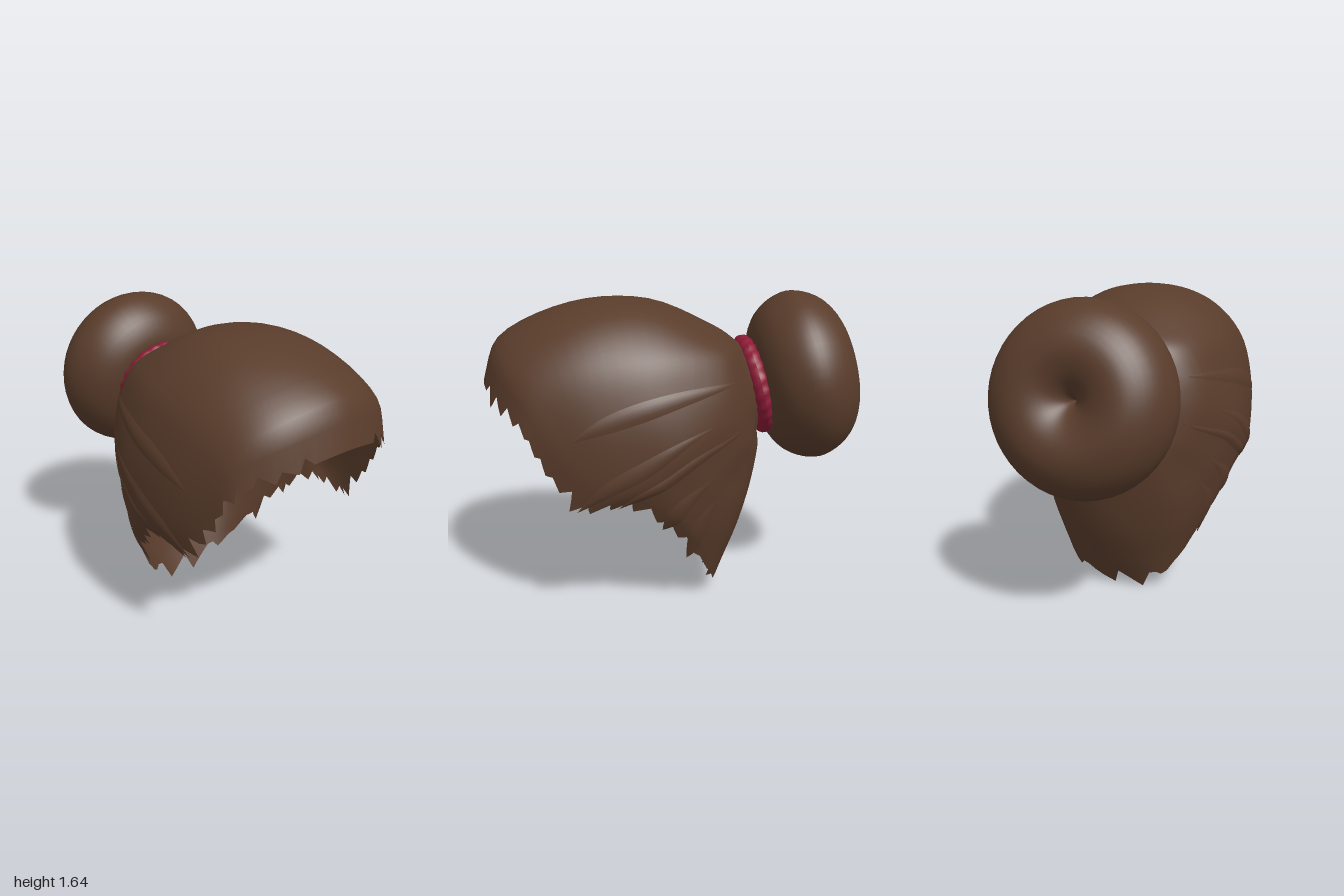
import * as THREE from 'three';

const hair = new THREE.MeshStandardMaterial({ color: 0x593c2b, side: THREE.DoubleSide });
hair.name = 'brown hair';
const band = new THREE.MeshStandardMaterial({ color: 0x8c1b36 });
band.name = 'red band';

// Funnel of hair gathered through the band: radius and z of each ring
const funnel = [[.115, -.505], [.2, -.46], [.24, -.4]];

// Half of the hair cap: strands running from the band to the rim, top round to nape
const strands = [
  [[0, 1.46, -.21], [0, 1.6, .13], [0, 1.59, .53], [0, 1.43, .9], [0, 1.2, 1]],
  [[.18, 1.43, -.21], [.26, 1.55, .13], [.29, 1.53, .5], [.29, 1.37, .85], [.28, 1.15, .94]],
  [[.33, 1.36, -.22], [.46, 1.38, .1], [.49, 1.35, .45], [.48, 1.23, .73], [.48, 1.06, .8]],
  [[.42, 1.22, -.22], [.55, 1.17, .1], [.58, 1.08, .4], [.56, .97, .6], [.53, .85, .68]],
  [[.44, 1.07, -.25], [.57, .97, 0], [.6, .85, .2], [.59, .75, .38], [.55, .65, .51]],
  [[.4, .95, -.3], [.53, .85, -.08], [.57, .75, .08], [.57, .7, .17], [.55, .65, .25]],
  [[.33, .87, -.36], [.44, .7, -.2], [.48, .6, -.1], [.48, .5, -.04], [.45, .42, -.01]],
  [[.2, .82, -.43], [.27, .6, -.36], [.3, .4, -.28], [.28, .25, -.23], [.25, .1, -.19]],
  [[0, .82, -.465], [0, .62, -.43], [0, .4, -.375], [0, .2, -.29], [0, .04, -.21]],
];

// Closed curves across the strands, one for each step from funnel to rim
const rowCount = funnel.length + strands[0].length;
const rows = Array.from({ length: rowCount }, (_, j) => {
  const pts = [];
  for (let i = 0; i < 16; i++) {
    const k = i <= 8 ? i : 16 - i, side = i <= 8 ? 1 : -1;
    const a = i * Math.PI / 8;
    if (j < funnel.length) {
      const [r, z] = funnel[j];
      pts.push(new THREE.Vector3(r * Math.sin(a), 1.135 + .98 * r * Math.cos(a), z + .23 * r * Math.cos(a)));
    } else {
      const [x, y, z] = strands[k][j - funnel.length];
      pts.push(new THREE.Vector3(side * x, y, z));
    }
  }
  return new THREE.CatmullRomCurve3(pts, true, 'catmullrom');
});

// One strand line at angle u (0..1 around the band)
const strandAt = (u) =>
  new THREE.CatmullRomCurve3(rows.map((r) => r.getPoint(((u % 1) + 1) % 1)), false, 'catmullrom');

// Point on the strand, running straight on past the rim when v > 1
function along(curve, v) {
  if (v <= 1) return curve.getPoint(Math.max(v, 0));
  const end = curve.getPoint(1);
  return end.clone().add(end.clone().sub(curve.getPoint(.95)).multiplyScalar((v - 1) / .05));
}

function gridGeometry(nu, nv, closed, point) {
  const pos = [], idx = [], cols = closed ? nu : nu + 1;
  for (let i = 0; i < cols; i++) {
    for (let j = 0; j <= nv; j++) pos.push(...point(i, j).toArray());
  }
  for (let i = 0; i < nu; i++) {
    for (let j = 0; j < nv; j++) {
      const a = i * (nv + 1) + j, b = ((i + 1) % cols) * (nv + 1) + j;
      idx.push(a, a + 1, b, b, a + 1, b + 1);
    }
  }
  const g = new THREE.BufferGeometry();
  g.setAttribute('position', new THREE.Float32BufferAttribute(pos, 3));
  g.setIndex(idx);
  g.computeVertexNormals();
  return g;
}

const hash = (n) => {
  const s = Math.sin(n * 127.1 + 3.7) * 43758.5453;
  return s - Math.floor(s);
};

function hairCap() {
  const nu = 120, nv = 32;
  const curves = Array.from({ length: nu }, (_, i) => strandAt(i / nu));
  // Ragged rim: saw teeth, calm at the fringe, wild at the sides, broad at the nape
  const rim = curves.map((_, i) => {
    const d = Math.min(i, nu - i) / nu * 2;
    const amp = d < .09 ? 0 : d < .45 ? .04 : d < .8 ? .075 : d < .9 ? .015 : .06;
    const n = d > .9 ? 5 : 3;
    const tooth = (i % n) / (n - 1) - .5;
    return 1 + amp * tooth * (.5 + hash(Math.floor(i / n)));
  });
  return gridGeometry(nu, nv, true, (i, j) =>
    along(curves[i], j < nv ? j / nv * .96 : rim[i]));
}

// A tapered lock lying just above the cap
function lock(u, width, v0, v1) {
  const n = 14;
  return gridGeometry(4, n, false, (i, j) => {
    const t = j / n, s = i / 2 - 1;
    const c = strandAt(u + s * width * Math.sin(Math.PI * (.06 + .94 * t)));
    const p = along(c, v0 + (v1 - v0) * t);
    const out = p.clone().sub(new THREE.Vector3(0, .95, .1)).normalize();
    return p.addScaledVector(out, .008 * (1 - s * s) * Math.sin(Math.PI * t) + .001);
  });
}

// Round bun, pinched in at both ends
function bunGeometry() {
  const half = [[0, .07], [.025, .13], [.07, .18], [.13, .22], [.21, .243], [.3, .23], [.39, .17], [.445, .085]];
  const pts = [
    ...half.map(([r, h]) => new THREE.Vector2(r, -h)),
    new THREE.Vector2(.465, 0),
    ...half.slice().reverse().map(([r, h]) => new THREE.Vector2(r, h)),
  ];
  const profile = new THREE.SplineCurve(pts).getPoints(48);
  profile.forEach((p) => { p.x = Math.max(p.x, 0); });
  return new THREE.LatheGeometry(profile, 48).rotateX(Math.PI / 2);
}

// Twisted rope ring
function ropeGeometry() {
  const R = .23;
  const g = new THREE.TorusGeometry(R, .045, 16, 160);
  const p = g.attributes.position, uv = g.attributes.uv;
  const v = new THREE.Vector3(), c = new THREE.Vector3();
  for (let i = 0; i < p.count; i++) {
    const a = uv.getX(i) * Math.PI * 2, b = uv.getY(i) * Math.PI * 2;
    c.set(R * Math.cos(a), R * Math.sin(a), 0);
    v.fromBufferAttribute(p, i).sub(c).multiplyScalar(1 + .07 * Math.cos(24 * a + 2 * b)).add(c);
    p.setXYZ(i, v.x, v.y, v.z);
  }
  g.computeVertexNormals();
  return g;
}

export function createModel() {
  const model = new THREE.Group();
  model.name = 'hairstyle';
  const add = (name, geometry, material) => {
    const m = new THREE.Mesh(geometry, material);
    m.name = name;
    model.add(m);
    return m;
  };

  add('hairCap', hairCap(), hair);

  // Loose locks on both sides
  for (const [u, w, v0, v1] of [[.19, .012, .4, .82], [.25, .012, .5, 1.03],
    [.3, .012, .4, 1.05], [.35, .01, .57, 1.08], [.385, .01, .64, 1.13]]) {
    add('leftLock', lock(u, w, v0, v1), hair);
    add('rightLock', lock(1 - u, w, v0, v1), hair);
  }

  // Bun and its band, leaning back
  const tie = add('hairBand', ropeGeometry(), band);
  tie.position.set(0, 1.13, -.442);
  tie.rotation.x = .25;
  const bun = add('bun', bunGeometry(), hair);
  bun.position.set(0, 1.175, -.71);
  bun.rotation.x = .2;
  bun.scale.x = .98;
  return model;
}
